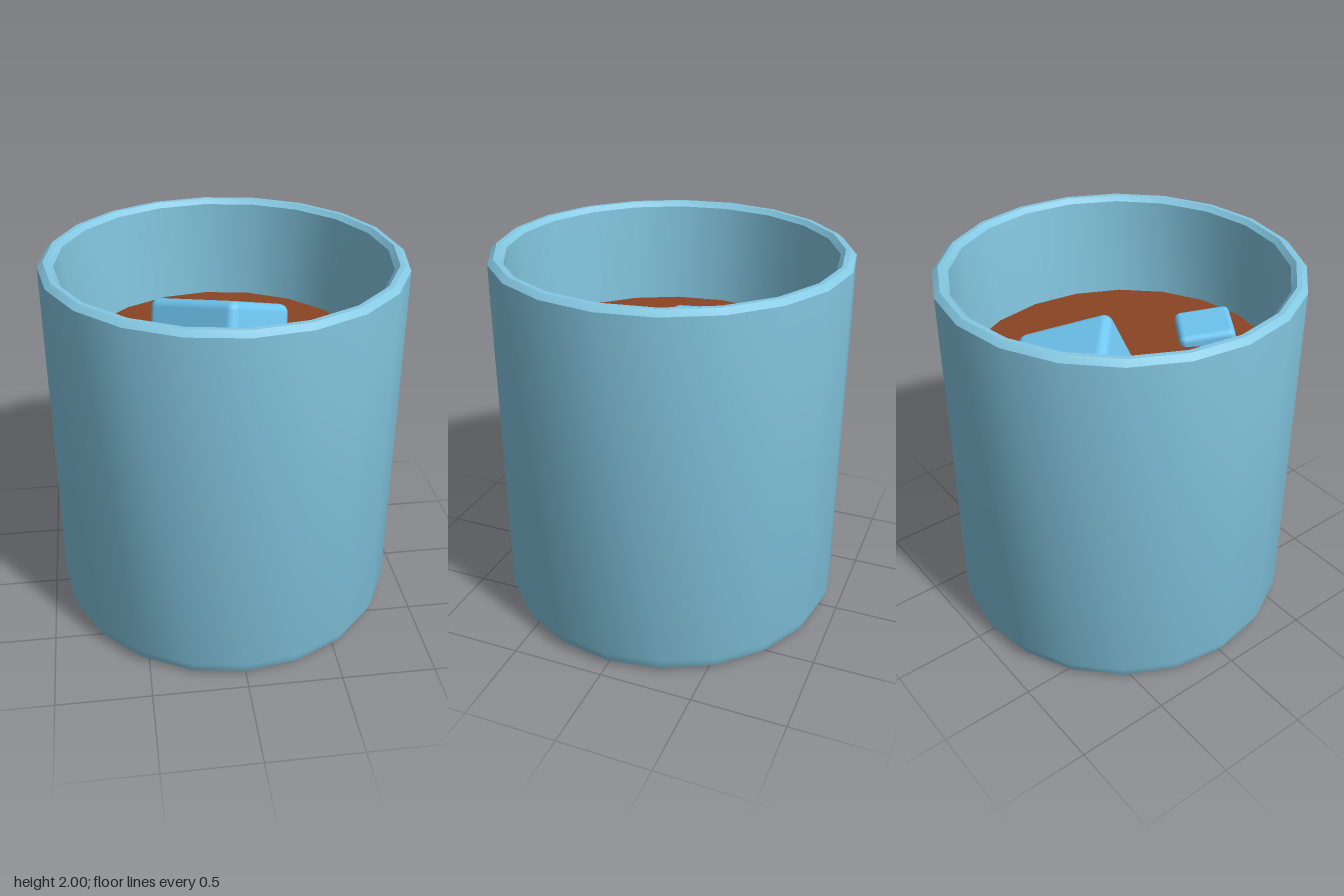
import * as THREE from 'three';
import { toCreasedNormals } from 'three/addons/utils/BufferGeometryUtils.js';
import { RoundedBoxGeometry } from 'three/addons/geometries/RoundedBoxGeometry.js';

const SIDES = 20;
const LIQUID_Y = 1.43;
const INNER_SCALE_X = 0.955; // the cavity is slightly narrower in x

function mesh(name, geometry, color) {
  const m = new THREE.Mesh(geometry, new THREE.MeshStandardMaterial({ color }));
  m.name = name;
  return m;
}

// Thick-walled tumbler: outside, bevelled rim, then inside down to the floor
function createCup() {
  const profile = [
    [0, 0], [0.85, 0], [0.91, 0.025], [0.935, 0.09], [0.935, 1.975],
    [0.905, 2], [0.88, 2], [0.855, 1.975], [0.848, LIQUID_Y], [0.84, 0.12], [0, 0.12],
  ].map(([r, y]) => new THREE.Vector2(r, y));
  const geometry = new THREE.LatheGeometry(profile, SIDES);
  const pos = geometry.attributes.position;
  const perRing = profile.length;
  for (let i = 0; i < pos.count; i++) {
    if (i % perRing >= 8) pos.setX(i, pos.getX(i) * INNER_SCALE_X);
  }
  return mesh('cup', toCreasedNormals(geometry, 0.6), 0x84c8e2);
}

// Flat surface of the drink
function createLiquid() {
  const geometry = new THREE.CircleGeometry(0.85, SIDES);
  geometry.rotateX(-Math.PI / 2);
  geometry.scale(INNER_SCALE_X, 1, 1);
  const liquid = mesh('liquid', geometry, 0x8b4423);
  liquid.material.side = THREE.DoubleSide;
  liquid.position.y = LIQUID_Y;
  return liquid;
}

// Ice cube placed by the centre of its top face, its up direction and one edge direction
function createIce(name, size, radius, topCentre, up, edge) {
  const ice = mesh(name, new RoundedBoxGeometry(...size, 2, radius), 0x70c8f4);
  const y = new THREE.Vector3(...up).normalize();
  const x = new THREE.Vector3().crossVectors(y, new THREE.Vector3(...edge)).normalize();
  const z = new THREE.Vector3().crossVectors(x, y);
  ice.quaternion.setFromRotationMatrix(new THREE.Matrix4().makeBasis(x, y, z));
  ice.position.set(...topCentre).addScaledVector(y, -size[1] / 2);
  return ice;
}

export function createModel() {
  const group = new THREE.Group();
  group.name = 'icedDrink';
  group.add(
    createCup(),
    createLiquid(),
    createIce('largeIceCube', [0.54, 0.54, 0.6], 0.05, [0.03, 1.57, -0.39], [0.1, 0.91, -0.4], [0.4, 0.12, 0.37]),
    createIce('smallIceCube', [0.31, 0.31, 0.31], 0.035, [-0.03, 1.5, 0.56], [0.08, 0.98, -0.12], [0.25, 0, 0.17]),
  );
  return group;
}
